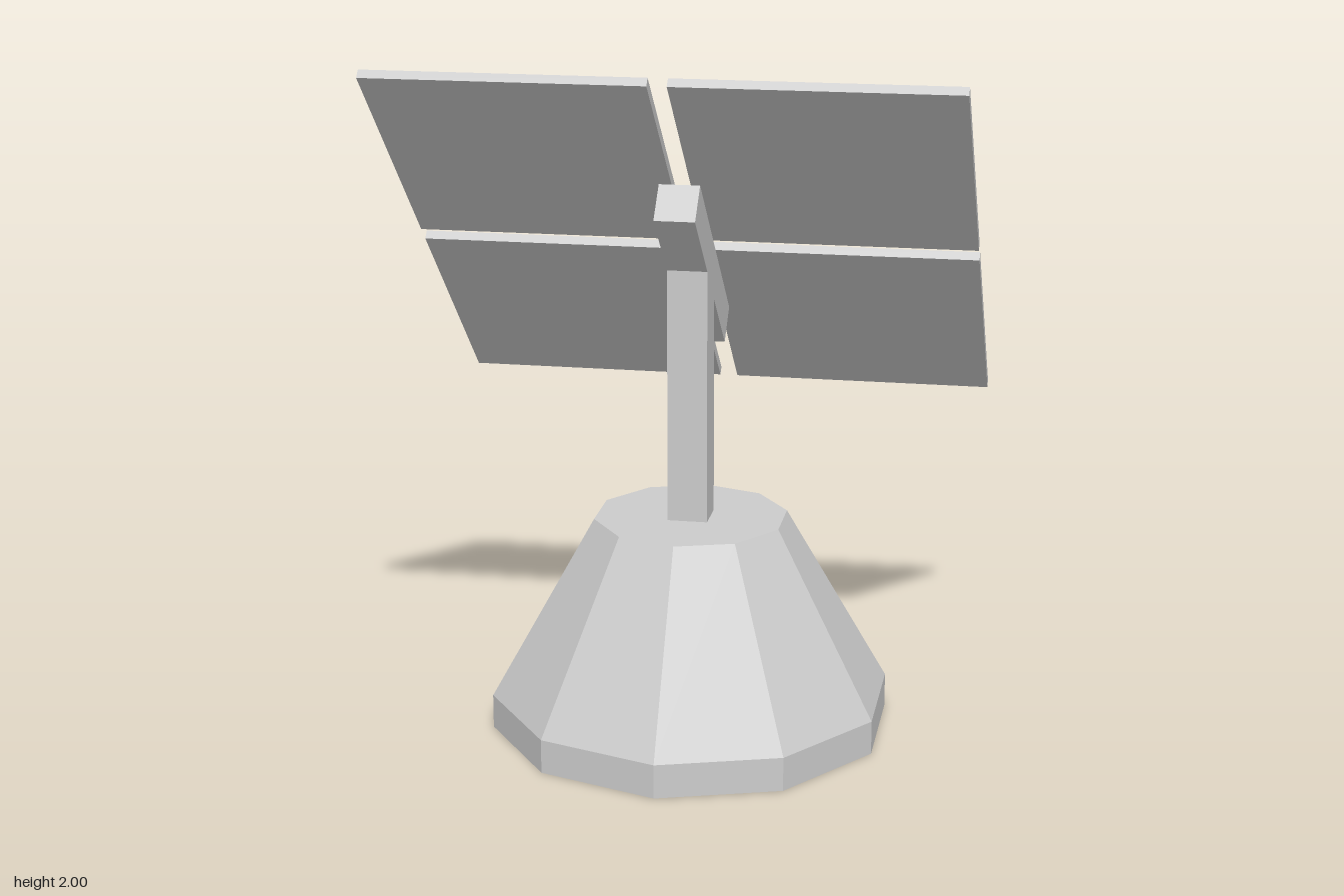
import * as THREE from 'three';

const TILT = THREE.MathUtils.degToRad(43);

export function createModel() {
  const model = new THREE.Group();
  const grey = new THREE.MeshStandardMaterial({ color: 0xcccccc, flatShading: true });
  grey.name = 'light grey';

  function add(parent, name, geometry, x, y, z) {
    const mesh = new THREE.Mesh(geometry, grey);
    mesh.name = name;
    mesh.position.set(x, y, z);
    parent.add(mesh);
    return mesh;
  }

  // Ten-sided foundation: low plinth with a tapered body above
  const base = new THREE.Group();
  base.name = 'base';
  base.position.z = 0.05;
  model.add(base);
  add(base, 'plinth', new THREE.CylinderGeometry(0.59, 0.59, 0.1, 10), 0, 0.05, 0);
  add(base, 'taperedBody', new THREE.CylinderGeometry(0.285, 0.59, 0.535, 10), 0, 0.3675, 0);

  // Square post, ending inside the tilted arm
  add(model, 'post', new THREE.BoxGeometry(0.116, 0.765, 0.116), 0, 1.0075, 0.053);

  // Tilted arm at the top of the post
  const arm = add(model, 'arm', new THREE.BoxGeometry(0.116, 0.118, 0.688), 0, 1.375, 0.018);
  arm.rotation.x = -TILT;

  // Two by two array of square panels, floating just above the arm
  const panels = new THREE.Group();
  panels.name = 'panelArray';
  panels.position.set(0, 1.435, -0.045);
  panels.rotation.x = -TILT;
  model.add(panels);
  const size = 0.784, gap = 0.054, offset = (size + gap) / 2;
  for (const sx of [-1, 1]) {
    for (const sz of [-1, 1]) {
      const name = (sz > 0 ? 'upper' : 'lower') + (sx > 0 ? 'Left' : 'Right') + 'Panel';
      add(panels, name, new THREE.BoxGeometry(size, 0.027, size), sx * offset, 0, sz * offset);
    }
  }

  return model;
}
